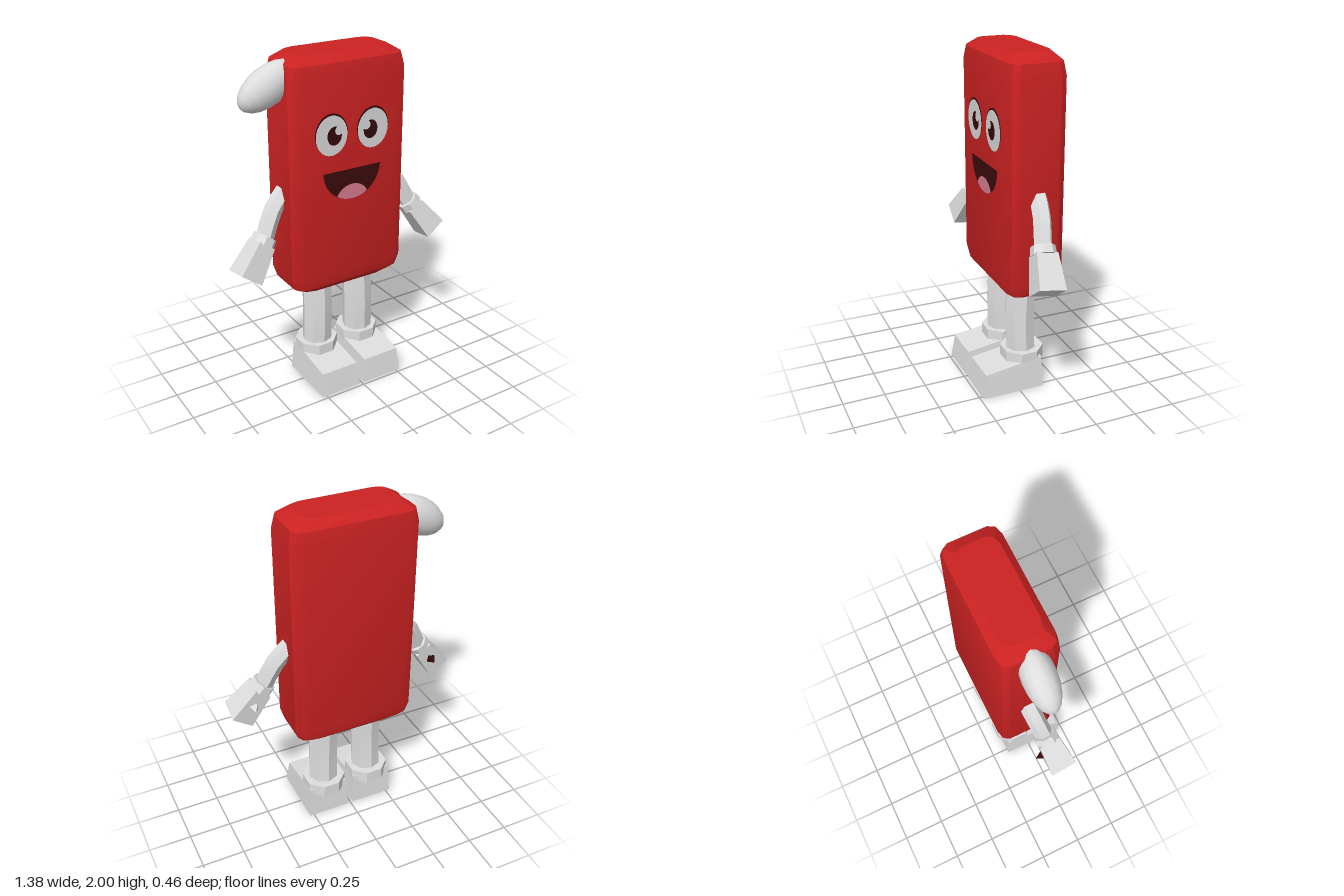
import * as THREE from 'three';
import { toCreasedNormals } from 'three/addons/utils/BufferGeometryUtils.js';

const mat = (name, color) => {
  const m = new THREE.MeshStandardMaterial({ color });
  m.name = name;
  return m;
};

export function createModel() {
  const red = mat('body red', 0xcc2222);
  const grey = mat('limb grey', 0xdedede);
  const white = mat('eye white', 0xdadada);
  const dark = mat('dark maroon', 0x330808);
  const mouthDark = mat('mouth brown', 0x3c0b0b);
  const pink = mat('tongue pink', 0xd97d90);
  const model = new THREE.Group();
  model.name = 'blockMascot';

  const add = (name, geometry, material, parent = model) => {
    const mesh = new THREE.Mesh(geometry, material);
    mesh.name = name;
    parent.add(mesh);
    return mesh;
  };
  const faceted = (g) => toCreasedNormals(g, 0.4);

  // Body: chamfered slab lofted from rounded rectangles [y, halfX, halfZ]
  const bodyZ = -0.0625;
  const levels = [
    [0.615, 0.275, 0.11], [0.66, 0.345, 0.154], [0.73, 0.365, 0.167],
    [1.88, 0.365, 0.167], [1.955, 0.35, 0.156], [2.0, 0.28, 0.115],
  ];
  const pos = [], idx = [], n = 12;
  for (const [y, hx, hz] of levels) {
    for (let q = 0; q < 4; q++) {
      for (let k = 0; k < 3; k++) {
        const a = (q + k / 2) * Math.PI / 2;
        const sx = q === 0 || q === 3 ? 1 : -1, sz = q < 2 ? 1 : -1;
        pos.push(sx * (hx - 0.07) + 0.07 * Math.cos(a), y,
          bodyZ + sz * (hz - 0.05) + 0.05 * Math.sin(a));
      }
    }
  }
  const last = (levels.length - 1) * n, bottom = levels.length * n;
  pos.push(0, levels[0][0], bodyZ, 0, 2, bodyZ);
  for (let j = 0; j < n; j++) {
    const k = (j + 1) % n;
    for (let i = 0; i < last; i += n) idx.push(i + j, i + n + j, i + k, i + k, i + n + j, i + n + k);
    idx.push(bottom, j, k, bottom + 1, last + k, last + j);
  }
  const body = new THREE.BufferGeometry();
  body.setAttribute('position', new THREE.Float32BufferAttribute(pos, 3));
  body.setIndex(idx);
  add('body', faceted(body), red);

  // Drooping pompom on the upper right corner
  const pompom = add('pompom', new THREE.SphereGeometry(1, 14, 10).rotateZ(Math.PI / 2), grey);
  pompom.scale.set(0.19, 0.105, 0.088);
  pompom.rotation.z = 0.52;
  pompom.position.set(-0.42, 1.845, -0.055);

  // Face plates
  const ellipse = (name, x, y, z, rx, ry, material) => {
    const m = add(name, new THREE.CircleGeometry(1, 28), material);
    m.scale.set(rx, ry, 1);
    m.position.set(x, y, z);
  };
  for (const s of [-1, 1]) {
    ellipse('eyeOutline', s * 0.132, 1.574, 0.107, 0.102, 0.117, dark);
    ellipse('eyeWhite', s * 0.132, 1.567, 0.109, 0.099, 0.113, white);
    ellipse('pupil', s * 0.115, 1.564, 0.111, 0.045, 0.053, dark);
    ellipse('eyeGlint', s * 0.088, 1.592, 0.113, 0.025, 0.026, white);
  }
  const mouth = new THREE.Shape();
  mouth.moveTo(-0.185, 1.355);
  mouth.lineTo(0.185, 1.355);
  mouth.bezierCurveTo(0.18, 1.25, 0.1, 1.178, 0, 1.178);
  mouth.bezierCurveTo(-0.1, 1.178, -0.18, 1.25, -0.185, 1.355);
  add('mouth', new THREE.ShapeGeometry(mouth), mouthDark).position.z = 0.107;
  const tongue = new THREE.Shape();
  tongue.moveTo(-0.098, 1.207);
  tongue.bezierCurveTo(-0.06, 1.285, 0.06, 1.285, 0.098, 1.207);
  tongue.quadraticCurveTo(0.055, 1.178, 0, 1.178);
  tongue.quadraticCurveTo(-0.055, 1.178, -0.098, 1.207);
  add('tongue', new THREE.ShapeGeometry(tongue), pink).position.z = 0.109;

  const limb = (name, points, radius, sides) => {
    const curve = new THREE.CatmullRomCurve3(points.map((p) => new THREE.Vector3(...p)));
    add(name, faceted(new THREE.TubeGeometry(curve, 4, radius, sides)), grey);
  };
  // Box whose corners are placed by a rule
  const shapedBox = (rule) => {
    const g = new THREE.BoxGeometry(1, 1, 1), p = g.attributes.position;
    for (let i = 0; i < p.count; i++) {
      p.setXYZ(i, ...rule(Math.sign(p.getX(i)), p.getY(i) > 0, p.getZ(i) > 0));
    }
    return faceted(g);
  };

  for (const s of [-1, 1]) {
    // Leg, ankle cuff and wedge foot
    limb('leg', [[s * 0.138, 0.68, -0.065], [s * 0.142, 0.4, -0.052], [s * 0.146, 0.18, -0.06]], 0.09, 8);
    const ankle = add('ankleCuff',
      faceted(new THREE.CylinderGeometry(0.128, 0.128, 0.075, 8).rotateY(Math.PI / 8)), grey);
    ankle.position.set(s * 0.145, 0.195, -0.065);
    add('foot', shapedBox((x, top, front) => [
      s * 0.146 + x * (top ? 0.117 : 0.13),
      top ? (front ? 0.145 : 0.195) : 0,
      front ? (top ? 0.21 : 0.232) : (top ? -0.14 : -0.15),
    ]), grey);

    // Arm
    limb('arm', [[s * 0.31, 1.255, -0.072], [s * 0.41, 1.15, -0.055], [s * 0.485, 1.0, -0.03]], 0.052, 6);

    // Wrist cuff, flared hand and thumb, all hanging along the forearm
    const hand = new THREE.Group();
    hand.name = 'hand';
    hand.position.set(s * 0.495, 0.99, -0.025);
    hand.quaternion.setFromUnitVectors(new THREE.Vector3(0, -1, 0),
      new THREE.Vector3(s * 0.6, -0.8, 0.15).normalize());
    model.add(hand);
    add('wristCuff', faceted(new THREE.CylinderGeometry(0.068, 0.072, 0.05, 8).rotateY(Math.PI / 8)), grey, hand);
    add('mitten', shapedBox((x, top, front) => [
      x * (top ? 0.053 : 0.071), top ? -0.02 : -0.23,
      (front ? 1 : -1) * (top ? 0.062 : 0.077),
    ]), grey, hand);
    const thumb = add('thumb', faceted(new THREE.ConeGeometry(0.034, 0.05, 4).rotateX(-Math.PI / 2)),
      s < 0 ? dark : grey, hand);
    thumb.position.set(0, -0.115, -0.088);
  }
  return model;
}
